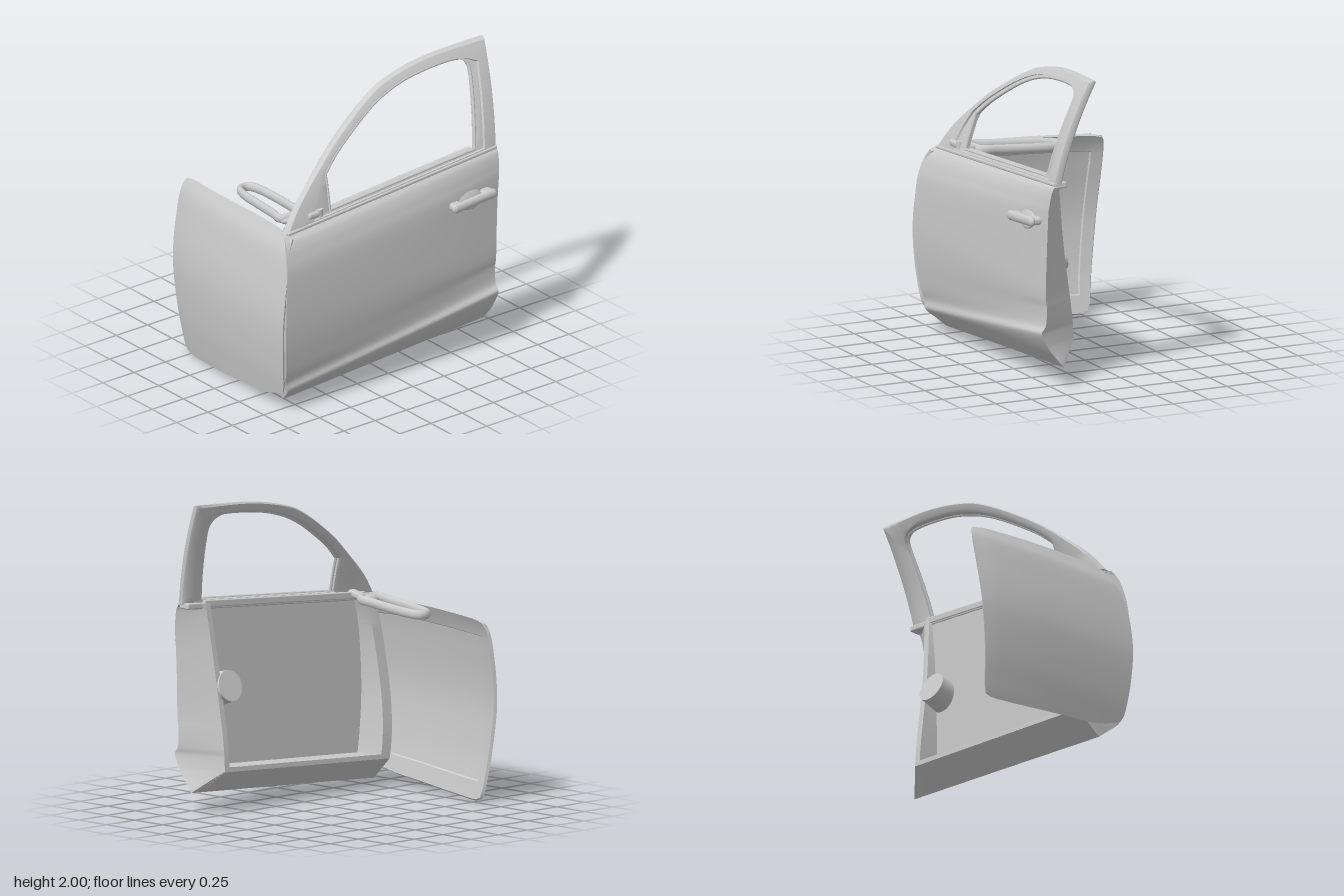
import * as THREE from 'three';
import { toCreasedNormals } from 'three/addons/utils/BufferGeometryUtils.js';
import { RoundedBoxGeometry } from 'three/addons/geometries/RoundedBoxGeometry.js';

const material = new THREE.MeshStandardMaterial({ color: 0xcccccc, side: THREE.DoubleSide });
const lerp = THREE.MathUtils.lerp;
const clamp = THREE.MathUtils.clamp;

// Smooth interpolation through [t, value] pairs
function smooth(pts, t) {
  const n = pts.length - 1;
  if (t <= pts[0][0]) return pts[0][1];
  if (t >= pts[n][0]) return pts[n][1];
  let i = 0;
  while (t > pts[i + 1][0]) i++;
  const slope = (k) => {
    const a = pts[Math.max(k - 1, 0)], b = pts[Math.min(k + 1, n)];
    return (b[1] - a[1]) / (b[0] - a[0]);
  };
  const [t0, v0] = pts[i], [t1, v1] = pts[i + 1], d = t1 - t0, s = (t - t0) / d;
  const s2 = s * s, s3 = s2 * s;
  return (2 * s3 - 3 * s2 + 1) * v0 + (s3 - 2 * s2 + s) * d * slope(i)
    + (3 * s2 - 2 * s3) * v1 + (s3 - s2) * d * slope(i + 1);
}

// Grid surface from fn(column, row) -> [x, y, z]
function surface(nu, nv, fn) {
  const pos = [], idx = [];
  for (let j = 0; j <= nv; j++) for (let i = 0; i <= nu; i++) pos.push(...fn(i, j));
  for (let j = 0; j < nv; j++) for (let i = 0; i < nu; i++) {
    const a = j * (nu + 1) + i, b = a + 1, c = a + nu + 1, d = c + 1;
    idx.push(a, b, d, a, d, c);
  }
  const g = new THREE.BufferGeometry();
  g.setAttribute('position', new THREE.Float32BufferAttribute(pos, 3));
  g.setIndex(idx);
  return toCreasedNormals(g, 0.6);
}

// Door edges, belt line and sill line
const frontEdge = [[0, -0.8], [0.04, -0.81], [0.15, -0.865], [0.3, -0.895], [0.6, -0.917], [0.9, -0.905], [1.08, -0.883], [1.17, -0.86], [1.21, -0.84]];
const rearEdge = [[0.1, 0.82], [0.35, 0.815], [0.7, 0.82], [1, 0.833], [1.33, 0.86]];
const belt = (x) => 1.2 + 0.077 * (x + 0.83);
const sill = (x) => 0.04 + 0.055 * (x + 0.8);
const skinDepth = [0.45, 0.54, 0.6, 0.592, 0.603, 0.625, 0.615, 0.59, 0.558, 0.52].map((z, i) => [i / 9, z]);
// The skin is drawn in at the rear middle and the lower front corner
const rearHollow = [[0.25, 0], [0.4, 0.03], [0.6, 0.05], [0.75, 0.03], [0.95, 0]];
const frontTuck = [[0, 0], [0.12, 0.03], [0.3, 0.025], [0.5, 0]];

function skinPoint(u, v) {
  const x = lerp(-0.9, 0.83, u), b = sill(x), t = belt(x), c = 0.15 + 0.12 * (x + 0.85);
  const rows = [b, (b + c) / 2, c, c + 0.06, c + 0.17, 0.64, t - 0.25, t - 0.12, t - 0.04, t];
  const y = smooth(rows.map((h, i) => [i / 9, h]), v);
  const z = smooth(skinDepth, v) - 0.01 * (x + 0.9)
    - u ** 3 * smooth(rearHollow, v) - (1 - u) ** 2 * smooth(frontTuck, v);
  return [lerp(smooth(frontEdge, y), smooth(rearEdge, y), u), y, z];
}

// Jambs and sill: skin edge -> inner edge -> narrow lip -> return to the inner plate
const plateZ = 0.43;
const jambRows = [[0.09, 0.15, 0.14], [0.17, 0.19, 0.17], [0.24, 0.2, 0.17]];
function jambPoint(s, row) {
  const p = s < 1 ? skinPoint(1, 1 - s) : s < 2 ? skinPoint(2 - s, 0) : skinPoint(0, s - 2);
  if (row === 0) return p;
  const [dFront, dRear, up] = jambRows[row - 1];
  const y = Math.max(p[1], sill(p[0]) + up);
  const x = clamp(p[0], smooth(frontEdge, y) + dFront, smooth(rearEdge, y) - dRear);
  const z = smooth([[0.2, 0.285], [0.4, 0.295], [0.9, 0.365], [1.33, 0.415]], y);
  return [x, y, row === 3 ? plateZ : z];
}
function platePoint(u, v) {
  const x = lerp(-0.68, 0.64, u), y = lerp(sill(x) + 0.17, belt(x), v);
  return [lerp(smooth(frontEdge, y) + 0.24, smooth(rearEdge, y) - 0.2, u), y, plateZ];
}

// Window frame leans inwards above the belt
function leanZ(x, y) {
  const h = Math.max(0, y - belt(x));
  return 0.515 - (0.16 * h + 0.23 * h * h) * (1.2 - 0.2 * x);
}
const vec2 = (list) => list.map(([x, y]) => new THREE.Vector2(x, y));
const line = (a, b, n) => Array.from({ length: n }, (_, i) => new THREE.Vector2(lerp(a[0], b[0], i / n), lerp(a[1], b[1], i / n)));
const arch = new THREE.SplineCurve(vec2([[-0.83, 1.2], [-0.7, 1.355], [-0.5, 1.525], [-0.3, 1.675], [0, 1.85],
  [0.2, 1.923], [0.5, 1.975], [0.93, 1.997]])).getPoints(49);
const header = new THREE.SplineCurve(vec2([[-0.445, 1.485], [-0.3, 1.605], [0, 1.783], [0.25, 1.872], [0.5, 1.91],
  [0.7, 1.915], [0.765, 1.88], [0.77, 1.8]])).getPoints(35);
// Matching loops around the outside and the opening: corner piece, arch, pillar, belt
const outline = [...arch, ...line([0.926, 1.96], [0.86, 1.33], 16), ...line([0.86, 1.33], [-0.83, 1.2], 20), arch[0]];
const opening = [...line([-0.46, 1.262], [-0.445, 1.485], 14), ...header, ...line([0.768, 1.785], [0.7, 1.352], 16),
  ...line([0.7, 1.352], [-0.46, 1.262], 20), new THREE.Vector2(-0.46, 1.262)];
// Section across the frame: share of the width from the outside, depth
const frameSection = [[0, -0.02], [0.06, -0.003], [0.3, 0], [0.6, 0], [0.64, -0.012], [0.96, -0.015], [1, -0.02],
  [1, -0.048], [0.9, -0.056], [0.5, -0.06], [0.1, -0.055], [0, -0.042], [0, -0.02]];
function framePoint(i, j) {
  const [w, dz] = frameSection[j];
  const x = lerp(outline[i].x, opening[i].x, w), y = lerp(outline[i].y, opening[i].y, w);
  return [x, y, leanZ(x, y) + dz];
}
const leanTube = (pts, r, offset) => new THREE.TubeGeometry(new THREE.CatmullRomCurve3(
  pts.map((p) => new THREE.Vector3(p.x, p.y, leanZ(p.x, p.y) + offset))), 130, r, 8, false);

// Side panel: outline in z and y, bowed in x
const panelBack = [[0, -0.52], [0.03, -0.545], [0.08, -0.56], [0.25, -0.58], [0.6, -0.62], [0.95, -0.64], [1.13, -0.63], [1.2, -0.58]];
const panelHinge = [[0, 0.5], [0.1, 0.53], [0.2, 0.58], [0.6, 0.62], [0.95, 0.61], [1.2, 0.56]];
const panelTop = [[-0.64, 1.165], [-0.56, 1.185], [0.3, 1.215], [0.62, 1.19]];
const panelBottom = [[-0.64, 0.02], [-0.6, 0.002], [-0.5, 0.002], [-0.2, 0.02], [0.1, 0.045], [0.45, 0.08], [0.62, 0.14]];
const panelSkew = [[-0.64, -0.84], [-0.5, -0.87], [-0.2, -0.905], [0.2, -0.928], [0.62, -0.94]];
const panelBow = [[0, 0.072], [0.03, 0.065], [0.1, 0.052], [0.3, 0.02], [0.58, 0], [0.75, 0.01], [0.93, 0.038], [1.1, 0.075], [1.17, 0.11], [1.22, 0.135]];
function panelPoint(u, v, inset) {
  const zn = lerp(-0.64, 0.62, u);
  const y = lerp(smooth(panelBottom, zn), smooth(panelTop, zn), v);
  const z = lerp(smooth(panelBack, y), smooth(panelHinge, y), u);
  return [smooth(panelSkew, z) + smooth(panelBow, y) + inset, y, z];
}
// Stops packed at the hem so its step stays sharp
function hemStops(w) {
  const edge = [0, 0.01, w / 2, w - 0.005, w];
  const middle = Array.from({ length: 23 }, (_, i) => lerp(w, 1 - w, (i + 1) / 24));
  return [...edge, ...middle, ...edge.map((s) => 1 - s).reverse()];
}
const hemU = hemStops(0.075), hemV = hemStops(0.11);
function hemPoint(i, j) {
  const n = hemU.length - 1, ring = Math.min(i, n - i, j, n - j);
  return panelPoint(hemU[i], hemV[j], ring === 0 ? 0 : ring < 4 ? 0.02 : 0.01);
}

export function createModel() {
  const model = new THREE.Group();
  const add = (name, geometry, position = [0, 0, 0], rotation = [0, 0, 0], scale = [1, 1, 1]) => {
    const mesh = new THREE.Mesh(geometry, material);
    mesh.name = name;
    mesh.position.set(...position);
    mesh.rotation.set(...rotation);
    mesh.scale.set(...scale);
    model.add(mesh);
  };
  const beltTilt = [0, 0, Math.atan(0.077)];

  // Door body
  add('doorSkin', surface(40, 54, (i, j) => skinPoint(i / 40, j / 54)));
  add('jambAndSill', surface(120, 3, (i, j) => jambPoint(i / 40, j)));
  add('innerPlate', surface(12, 24, (i, j) => platePoint(i / 12, j / 24)));
  add('beltRail', new RoundedBoxGeometry(1.6, 0.04, 0.08, 2, 0.01), [0.055, 1.262, 0.465], beltTilt);
  add('innerBeltStrip', new RoundedBoxGeometry(1.42, 0.045, 0.03, 2, 0.008), [0, 1.272, 0.435], beltTilt);
  add('beltMoulding', new RoundedBoxGeometry(1.68, 0.022, 0.03, 2, 0.008), [0.02, 1.268, 0.508], beltTilt);

  // Window frame and seal
  add('windowFrame', surface(outline.length - 1, frameSection.length - 1, framePoint));
  add('windowSeal', leanTube(opening, 0.01, -0.022));

  // Outer handle with its bowl
  add('handleBar', new THREE.CapsuleGeometry(0.029, 0.295, 8, 20), [0.595, 1.07, 0.622], [0, 0, 0.08 - Math.PI / 2], [1.1, 1, 0.75]);
  for (const x of [0.465, 0.72]) {
    add('handleMount', new RoundedBoxGeometry(0.08, 0.05, 0.08, 3, 0.02), [x, 1.07 + (x - 0.595) * 0.08, 0.588]);
  }
  add('handleBowl', new THREE.SphereGeometry(1, 32, 16), [0.59, 1.07, 0.568], [-0.3, 0, 0], [0.1, 0.072, 0.022]);

  // Round housing inside the door
  add('innerHousing', new THREE.CylinderGeometry(0.1, 0.11, 0.14, 32), [0.57, 0.779, 0.401], [-Math.PI / 2 + 0.28, 0, 0]);

  // Mirror loop, its base and the stub on the corner piece
  const loop = new THREE.CatmullRomCurve3([[-0.715, 0.32], [-0.7, 0.2], [-0.675, 0.02], [-0.645, -0.16], [-0.615, -0.228],
    [-0.575, -0.245], [-0.54, -0.228], [-0.523, -0.16], [-0.53, 0.02], [-0.55, 0.2], [-0.57, 0.33]]
    .map(([x, z]) => new THREE.Vector3(x, 0.04 * (z + 0.26), z)), true);
  add('mirrorLoop', new THREE.TubeGeometry(loop, 90, 0.022, 12, true), [0, 1.185, 0], [0, 0, 0], [1, 1.4, 1]);
  add('mirrorBase', new THREE.SphereGeometry(1, 24, 16), [-0.645, 1.205, 0.33], [0, 0, 0], [0.085, 0.035, 0.045]);
  add('mirrorArm', new RoundedBoxGeometry(0.06, 0.04, 0.17, 3, 0.015), [-0.61, 1.235, 0.41], [-0.2, 0, 0]);
  add('mirrorStub', new RoundedBoxGeometry(0.09, 0.045, 0.05, 3, 0.018), [-0.6, 1.272, 0.49]);
  add('mirrorStubTip', new THREE.CylinderGeometry(0.025, 0.025, 0.05, 16), [-0.545, 1.272, 0.485]);

  // Side panel with folded hem
  add('sidePanelOuter', surface(40, 40, (i, j) => panelPoint(i / 40, j / 40, 0)));
  add('sidePanelInner', surface(hemU.length - 1, hemV.length - 1, hemPoint));
  return model;
}
